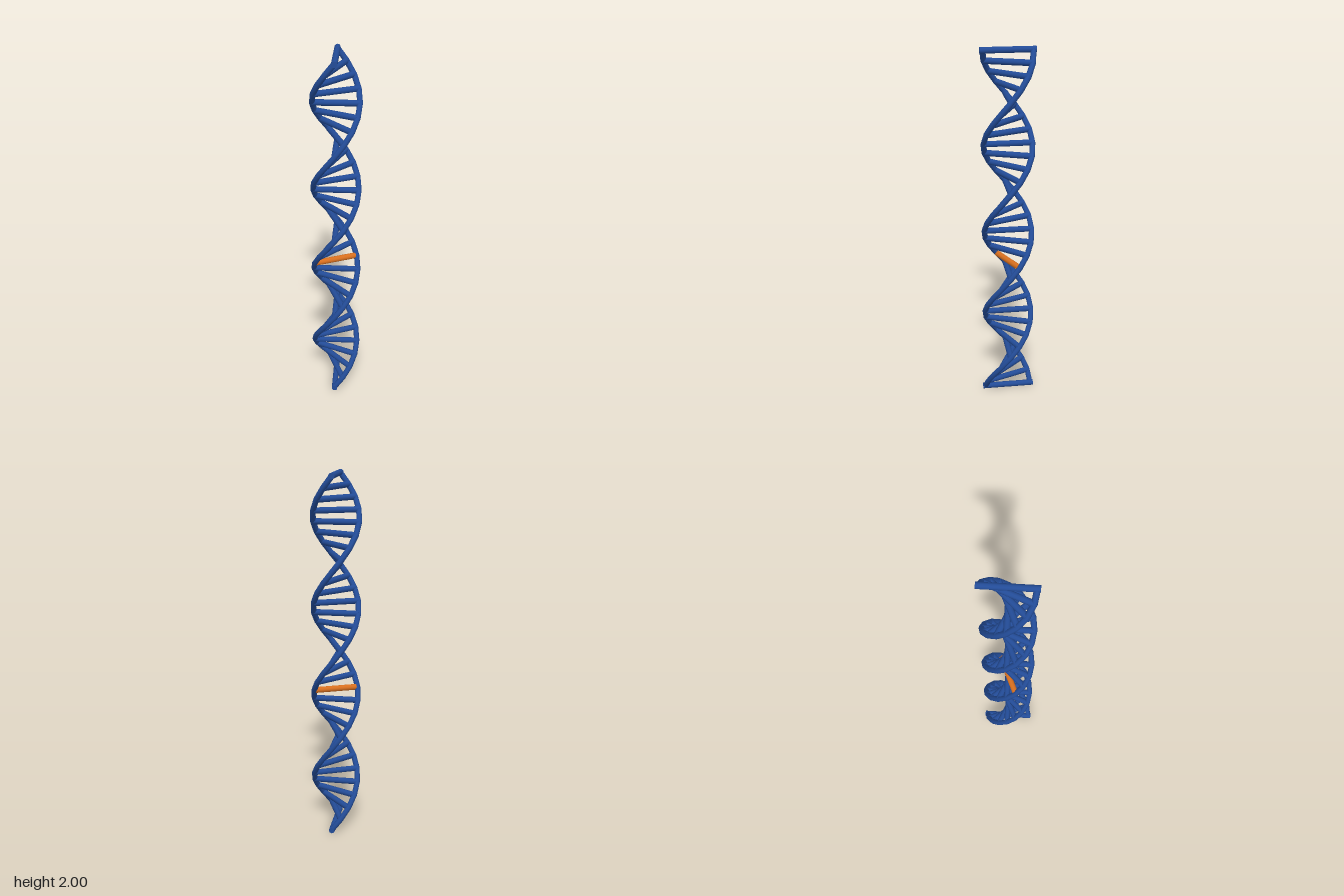
import * as THREE from 'three';

const RUNGS = 33;                  // 8 rungs per half turn, two full turns
const BOTTOM = 0.0165, TOP = 1.9835;
const RX = 0.123, RZ = 0.131;      // slightly oval helix
const TUBE = 0.0155, BAR = 0.0165;

// Point on a strand; t runs from top (0) to bottom (1), side is 1 or -1
function helixPoint(t, side) {
  const a = t * Math.PI * 4;
  return new THREE.Vector3(
    side * RX * Math.sin(a),
    TOP + (BOTTOM - TOP) * t,
    -side * RZ * Math.cos(a)
  );
}

class Helix extends THREE.Curve {
  constructor(side) {
    super();
    this.side = side;
  }
  getPoint(t, target = new THREE.Vector3()) {
    return target.copy(helixPoint(t, this.side));
  }
}

export function createModel() {
  const blue = new THREE.MeshStandardMaterial({ color: 0x234c98 });
  blue.name = 'blue';
  const orange = new THREE.MeshStandardMaterial({ color: 0xd9701f });
  orange.name = 'orange';

  const model = new THREE.Group();
  model.name = 'doubleHelix';
  const zAxis = new THREE.Vector3(0, 0, 1);
  const yAxis = new THREE.Vector3(0, 1, 0);

  // Two strands, one straight segment per rung, with closed ends
  for (const side of [1, -1]) {
    const strand = new THREE.Group();
    strand.name = side > 0 ? 'strandA' : 'strandB';
    const curve = new Helix(side);
    strand.add(new THREE.Mesh(new THREE.TubeGeometry(curve, RUNGS - 1, TUBE, 8), blue));
    for (const t of [0, 1]) {
      const cap = new THREE.Mesh(new THREE.CircleGeometry(TUBE, 8), blue);
      cap.name = 'strandEnd';
      cap.position.copy(curve.getPoint(t));
      const outward = curve.getTangent(t).multiplyScalar(t ? 1 : -1);
      cap.quaternion.setFromUnitVectors(zAxis, outward);
      strand.add(cap);
    }
    model.add(strand);
  }

  // Rungs between the strands; the end ones reach the outer edge
  for (let i = 0; i < RUNGS; i++) {
    const t = i / (RUNGS - 1);
    const a = helixPoint(t, 1), b = helixPoint(t, -1);
    const dir = a.clone().sub(b);
    const isEnd = i === 0 || i === RUNGS - 1;
    const length = dir.length() + (isEnd ? 2 * TUBE : 0);
    const isAccent = i === 19;
    const rung = new THREE.Mesh(
      new THREE.CylinderGeometry(BAR, BAR, length, 10),
      isAccent ? orange : blue
    );
    rung.name = isAccent ? 'accentRung' : 'rung';
    rung.position.copy(a).add(b).multiplyScalar(0.5);
    rung.quaternion.setFromUnitVectors(yAxis, dir.normalize());
    // Keep accent colour inside the strands
    if (isAccent) rung.scale.y = 0.93;
    model.add(rung);
  }
  return model;
}
